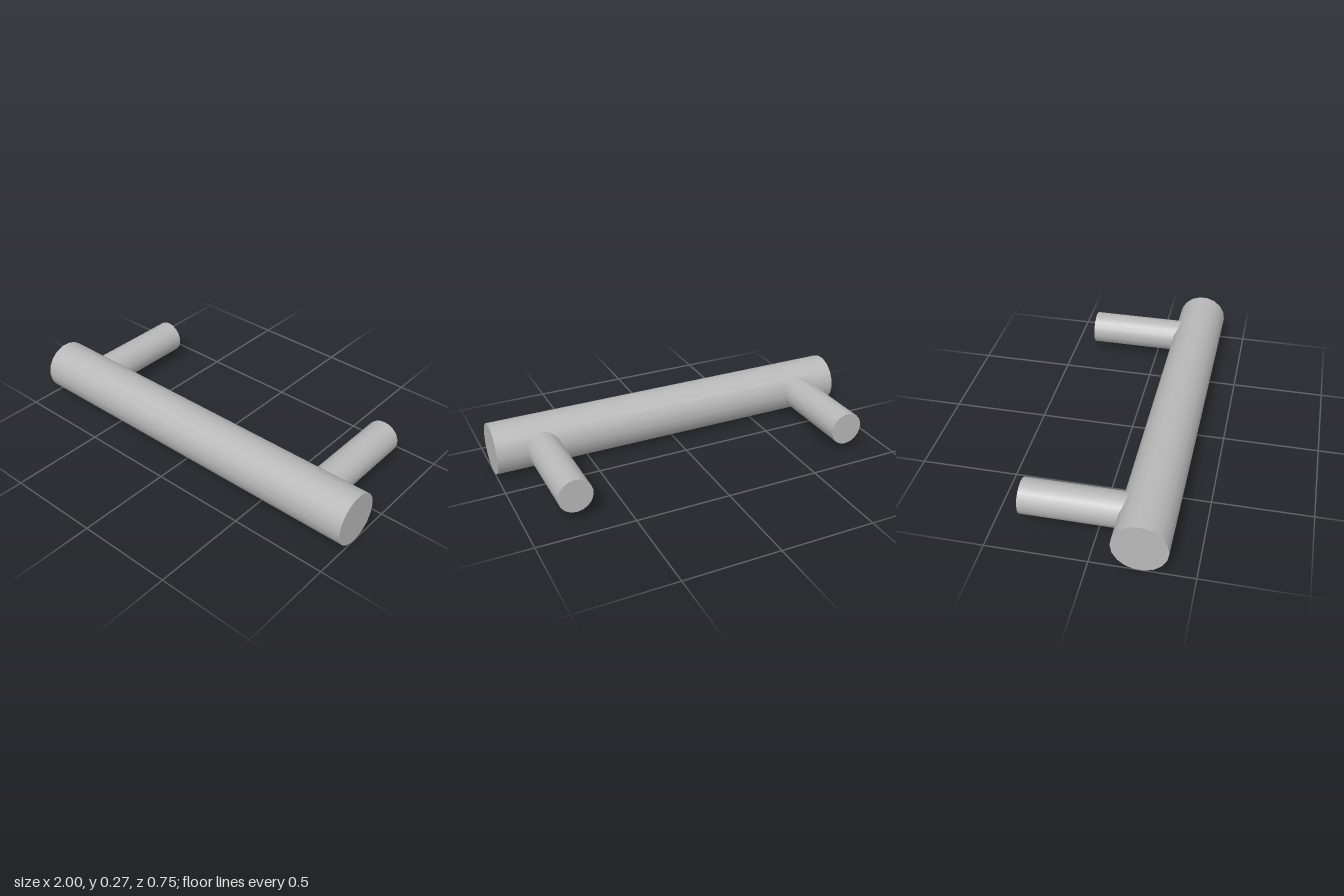
import * as THREE from 'three';

export function createModel() {
  const group = new THREE.Group();
  group.name = 'barHandle';

  const steel = new THREE.MeshStandardMaterial({ color: 0xb8b8b8 });
  steel.name = 'brushed steel';

  const SIDES = 18;
  const axisY = 0.133;
  const barZ = 0.238;
  const wallZ = -0.373;

  // Grip bar along x
  const bar = new THREE.Mesh(
    new THREE.CylinderGeometry(0.135, 0.135, 2, SIDES).rotateZ(Math.PI / 2),
    steel
  );
  bar.name = 'gripBar';
  bar.position.set(0, axisY, barZ);
  group.add(bar);

  // Two mounting posts running back from the bar's axis
  const postLength = barZ - wallZ;
  const postGeometry = new THREE.CylinderGeometry(0.089, 0.089, postLength, SIDES).rotateX(Math.PI / 2);
  for (const [name, x] of [['rightPost', -0.773], ['leftPost', 0.752]]) {
    const post = new THREE.Mesh(postGeometry, steel);
    post.name = name;
    post.position.set(x, axisY + 0.001, (barZ + wallZ) / 2);
    group.add(post);
  }

  return group;
}
